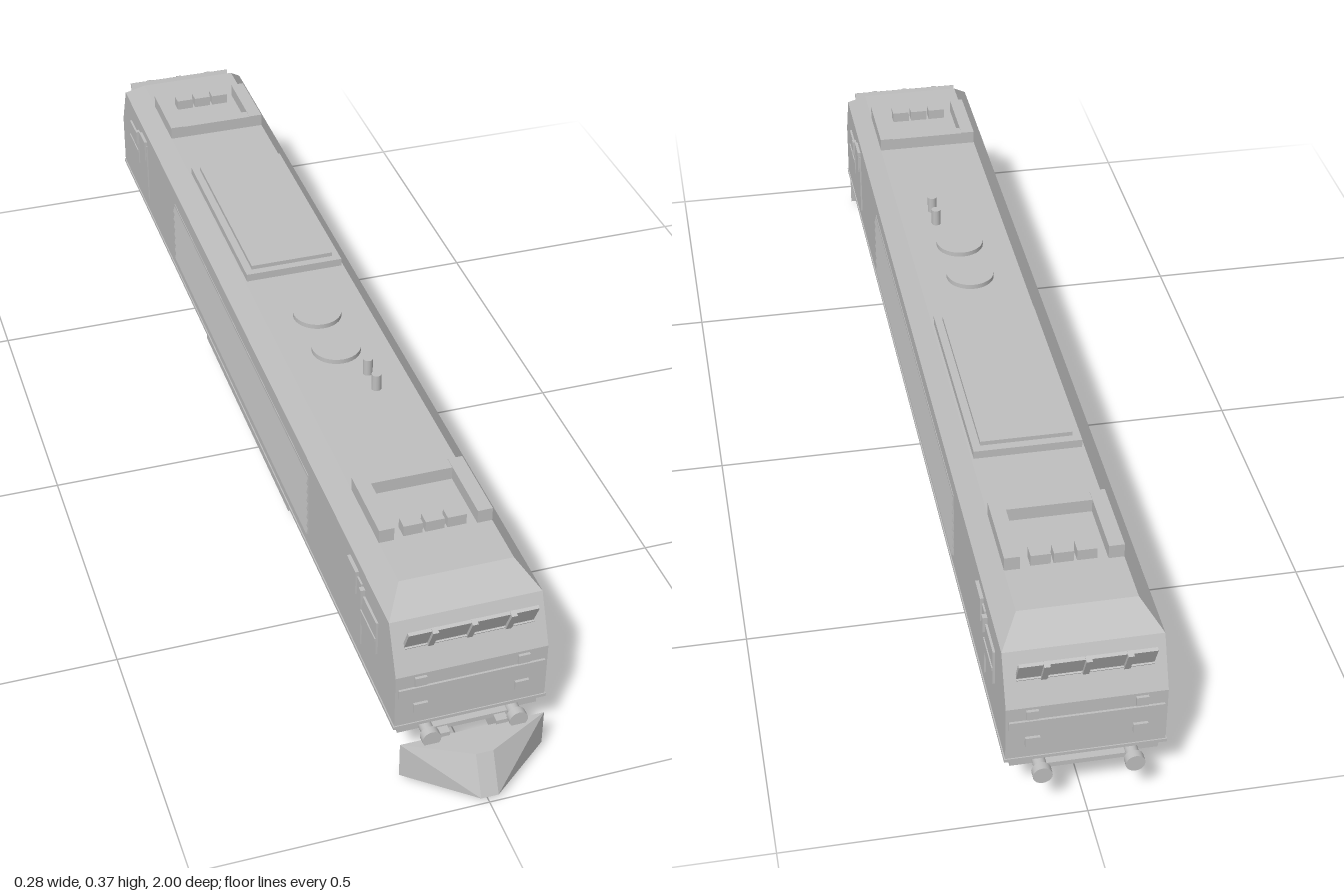
import * as THREE from 'three';
import { ConvexGeometry } from 'three/addons/geometries/ConvexGeometry.js';

const grey = new THREE.MeshStandardMaterial({ color: 0xc0c0c0 });
grey.name = 'plain grey';

const MID = -0.037; // centre of the body along z
const HALF = 0.933; // half length of the body

function add(parent, name, geometry, x = 0, y = 0, z = 0) {
  const mesh = new THREE.Mesh(geometry, grey);
  mesh.name = name;
  mesh.position.set(x, y, z);
  parent.add(mesh);
  return mesh;
}

// Box given by its lowest and highest corners
function box(parent, name, x0, x1, y0, y1, z0, z1) {
  return add(parent, name, new THREE.BoxGeometry(x1 - x0, y1 - y0, z1 - z0),
    (x0 + x1) / 2, (y0 + y1) / 2, (z0 + z1) / 2);
}

// Solid around rings of [half width, y, z front, z back]
function hull(parent, name, rings) {
  const points = [];
  for (const [w, y, front, back] of rings)
    for (const x of [-w, w])
      for (const z of [front, back]) points.push(new THREE.Vector3(x, y, z));
  return add(parent, name, new ConvexGeometry(points));
}

// One cab end, facing +z, with its origin at the middle of the body
function makeCab() {
  const cab = new THREE.Group();

  // Forward-leaning windscreen with frame bars
  const screen = new THREE.Group();
  screen.name = 'windscreen';
  screen.position.set(0, 0.278, HALF - 0.014);
  screen.rotation.x = 0.44;
  cab.add(screen);
  box(screen, 'windscreenPanel', -0.11, 0.11, -0.025, 0.025, -0.004, 0.002);
  for (const x of [-0.066, 0, 0.066])
    box(screen, 'windscreenBar', x - 0.005, x + 0.005, -0.026, 0.026, -0.004, 0.007);
  box(screen, 'windscreenSill', -0.11, 0.11, -0.026, -0.02, -0.004, 0.005);

  // Nose band, lamps and buffers
  box(cab, 'noseBand', -0.125, 0.125, 0.172, 0.189, HALF - 0.005, HALF + 0.004);
  box(cab, 'bufferBeam', -0.07, 0.07, 0.084, 0.093, HALF - 0.02, HALF + 0.004);
  for (const s of [-1, 1]) {
    box(cab, 'upperLamp', s * 0.088 - 0.01, s * 0.088 + 0.01, 0.193, 0.21, HALF - 0.005, HALF + 0.005);
    box(cab, 'lowerLamp', s * 0.087 - 0.012, s * 0.087 + 0.012, 0.136, 0.153, HALF - 0.005, HALF + 0.005);
    const stem = add(cab, 'bufferStem', new THREE.CylinderGeometry(0.011, 0.011, 0.03, 16), s * 0.075, 0.092, HALF + 0.002);
    const head = add(cab, 'bufferHead', new THREE.CylinderGeometry(0.016, 0.016, 0.014, 20), s * 0.075, 0.092, HALF + 0.022);
    stem.rotation.x = head.rotation.x = Math.PI / 2;

    // Cab door and side windows
    const plate = (name, out, y0, y1, z0, z1) =>
      box(cab, name, s * 0.13 - out, s * 0.13 + out, y0, y1, z0, z1);
    plate('cabDoor', 0.003, 0.14, 0.272, 0.697, 0.765);
    plate('doorWindow', 0.006, 0.235, 0.282, 0.7, 0.745);
    plate('sideWindow', 0.004, 0.19, 0.257, 0.772, 0.845);
    plate('sideWindowBar', 0.006, 0.218, 0.224, 0.772, 0.845);
    plate('mirror', 0.008, 0.24, 0.27, 0.768, 0.778);

    // Side rails of the roof unit
    box(cab, 'roofUnitRail', s * 0.085 - 0.013, s * 0.085 + 0.013, 0.335, 0.363, 0.605, 0.748);
  }
  box(cab, 'roofUnitCrossbar', -0.072, 0.072, 0.335, 0.362, 0.605, 0.628);
  for (const x of [-0.038, 0, 0.038])
    box(cab, 'roofUnitBlock', x - 0.0165, x + 0.0165, 0.335, 0.358, 0.72, 0.744);
  return cab;
}

// Three-axle bogie around its middle axle
function makeBogie() {
  const bogie = new THREE.Group();
  const wheel = new THREE.CylinderGeometry(0.045, 0.045, 0.011, 32);
  const axle = new THREE.CylinderGeometry(0.008, 0.008, 0.14, 12);
  for (const z of [-0.159, 0, 0.159]) {
    add(bogie, 'axle', axle, 0, 0.046, z).rotation.z = Math.PI / 2;
    for (const s of [-1, 1]) {
      add(bogie, 'wheel', wheel, s * 0.069, 0.045, z).rotation.z = Math.PI / 2;
      box(bogie, 'axleBracket', s * 0.108 - 0.006, s * 0.108 + 0.006, 0.07, 0.084, z - 0.005, z + 0.005);
    }
  }
  // Side frames with sloping ends
  for (const s of [-1, 1])
    hull(bogie, 'bogieFrame', [[0.006, 0.05, 0.17, -0.17], [0.006, 0.065, 0.2, -0.2], [0.006, 0.087, 0.2, -0.2]])
      .position.x = s * 0.098;
  return bogie;
}

export function createModel() {
  const model = new THREE.Group();
  model.name = 'locomotive';

  // Body shell, sill and underframe
  hull(model, 'body', [
    [0.13, 0.107, HALF, -HALF],
    [0.13, 0.215, HALF, -HALF],
    [0.13, 0.3, HALF - 0.039, -HALF + 0.039],
    [0.098, 0.338, HALF - 0.088, -HALF + 0.088],
  ]).position.z = MID;
  box(model, 'sill', -0.132, 0.132, 0.104, 0.11, MID - HALF - 0.002, MID + HALF + 0.002);
  box(model, 'underframe', -0.121, 0.121, 0.083, 0.107, MID - HALF + 0.01, MID + HALF - 0.01);
  box(model, 'fuelTank', -0.115, 0.115, 0.045, 0.085, -0.325, 0.255);

  // Cabs at both ends
  for (const [name, turn] of [['frontCab', 0], ['rearCab', Math.PI]]) {
    const cab = makeCab();
    cab.name = name;
    cab.position.z = MID;
    cab.rotation.y = turn;
    model.add(cab);
  }

  // Bogies
  for (const [name, z] of [['frontBogie', 0.569], ['rearBogie', -0.64]]) {
    const bogie = makeBogie();
    bogie.name = name;
    bogie.position.z = z;
    model.add(bogie);
  }

  // Long louvre slats on both sides
  for (const s of [-1, 1]) {
    box(model, 'louvrePanel', s * 0.13 - 0.001, s * 0.13 + 0.001, 0.135, 0.268, -0.5, 0.43);
    for (let i = 0; i < 7; i++) {
      const slat = box(model, 'louvreSlat', s * 0.13 - 0.002, s * 0.13 + 0.002, 0, 0.018, -0.5, 0.43);
      slat.position.y = 0.145 + i * 0.019;
      slat.rotation.z = s * 0.25;
    }
  }

  // Roof grille, fans and exhaust pipes
  box(model, 'roofGrilleBase', -0.094, 0.094, 0.335, 0.353, -0.493, -0.08);
  box(model, 'roofGrilleTop', -0.08, 0.08, 0.35, 0.361, -0.478, -0.095);
  for (const z of [0.065, 0.18])
    add(model, 'roofFan', new THREE.CylinderGeometry(0.045, 0.045, 0.012, 32), 0, 0.341, z);
  for (const z of [0.265, 0.313])
    add(model, 'exhaustPipe', new THREE.CylinderGeometry(0.009, 0.009, 0.036, 12), 0.032, 0.352, z);

  // Wedge plough under the front
  const plough = [];
  for (const s of [-1, 1])
    plough.push(
      new THREE.Vector3(s * 0.125, 0.013, 0.912), new THREE.Vector3(s * 0.125, 0.082, 0.912),
      new THREE.Vector3(s * 0.015, 0.013, 1), new THREE.Vector3(s * 0.015, 0.082, 0.967));
  add(model, 'plough', new ConvexGeometry(plough));
  for (const s of [-1, 1])
    box(model, 'ploughBracket', s * 0.05 - 0.01, s * 0.05 + 0.01, 0.05, 0.09, 0.87, 0.915);

  return model;
}
